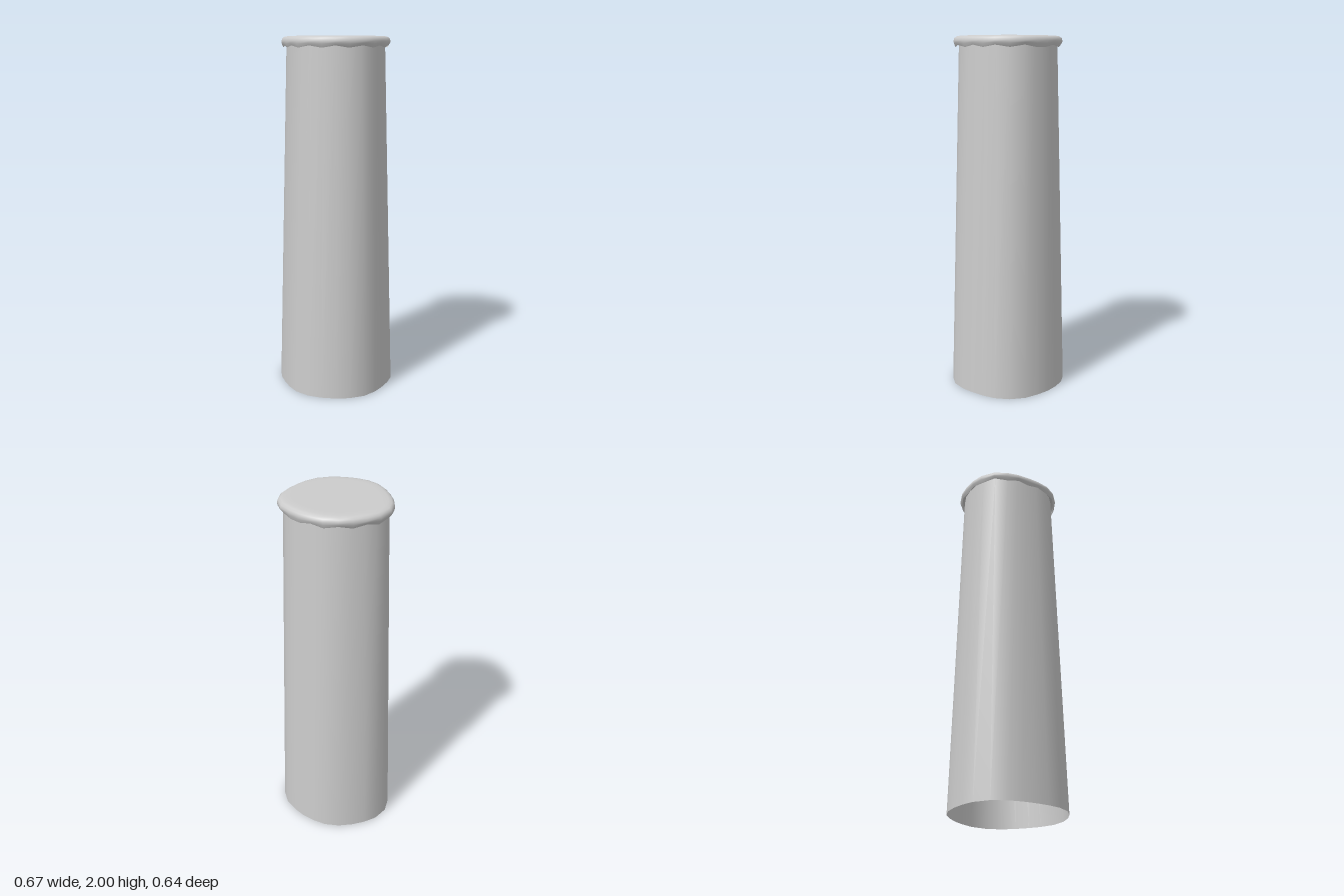
import * as THREE from 'three';

// Irregular ground outline, [x, z] pairs
const OUTLINE = [
  [0.02, -0.32], [0.105, -0.32], [0.19, -0.287], [0.254, -0.226], [0.292, -0.154],
  [0.317, -0.08], [0.333, -0.012], [0.333, 0.077], [0.299, 0.16], [0.247, 0.223],
  [0.184, 0.273], [0.109, 0.309], [0.024, 0.32], [-0.056, 0.303], [-0.128, 0.276],
  [-0.198, 0.242], [-0.258, 0.198], [-0.315, 0.129], [-0.336, 0.038], [-0.324, -0.041],
  [-0.297, -0.117], [-0.258, -0.187], [-0.198, -0.248], [-0.128, -0.285], [-0.055, -0.31],
];

// Smooth skin through scaled copies of the outline, from low to high.
// Each ring is [scale, y, wave]; wave raises every other point.
function loft(rings, closeTop) {
  const n = OUTLINE.length, pos = [], index = [];
  for (const [scale, y, wave = 0] of rings) {
    OUTLINE.forEach(([x, z], i) => pos.push(x * scale, y + (i % 2) * wave, z * scale));
  }
  for (let r = 0; r < rings.length - 1; r++) {
    for (let i = 0; i < n; i++) {
      const a = r * n + i, b = r * n + (i + 1) % n;
      index.push(a, a + n, b, b, a + n, b + n);
    }
  }
  if (closeTop) {
    const base = (rings.length - 1) * n, center = pos.length / 3;
    pos.push(0, rings[rings.length - 1][1], 0);
    for (let i = 0; i < n; i++) index.push(base + i, center, base + (i + 1) % n);
  }
  const geo = new THREE.BufferGeometry();
  geo.setAttribute('position', new THREE.Float32BufferAttribute(pos, 3));
  geo.setIndex(index);
  geo.computeVertexNormals();
  return geo;
}

export function createModel() {
  const group = new THREE.Group();
  group.name = 'column';
  const grey = new THREE.MeshStandardMaterial({ color: 0xcccccc, side: THREE.DoubleSide });
  grey.name = 'light grey';

  const add = (name, geo) => {
    const mesh = new THREE.Mesh(geo, grey);
    mesh.name = name;
    group.add(mesh);
  };

  // Tapered hollow shaft, open at the bottom
  add('shaft', loft([[1, 0], [0.83, 1.965]], false));

  // Rounded lid with a wavy hanging lip
  add('cap', loft([
    [0.885, 1.937, 0.012], [0.912, 1.957, 0.004], [0.918, 1.972], [0.905, 1.986],
    [0.87, 1.995], [0.81, 1.999], [0.7, 2],
  ], true));

  return group;
}
